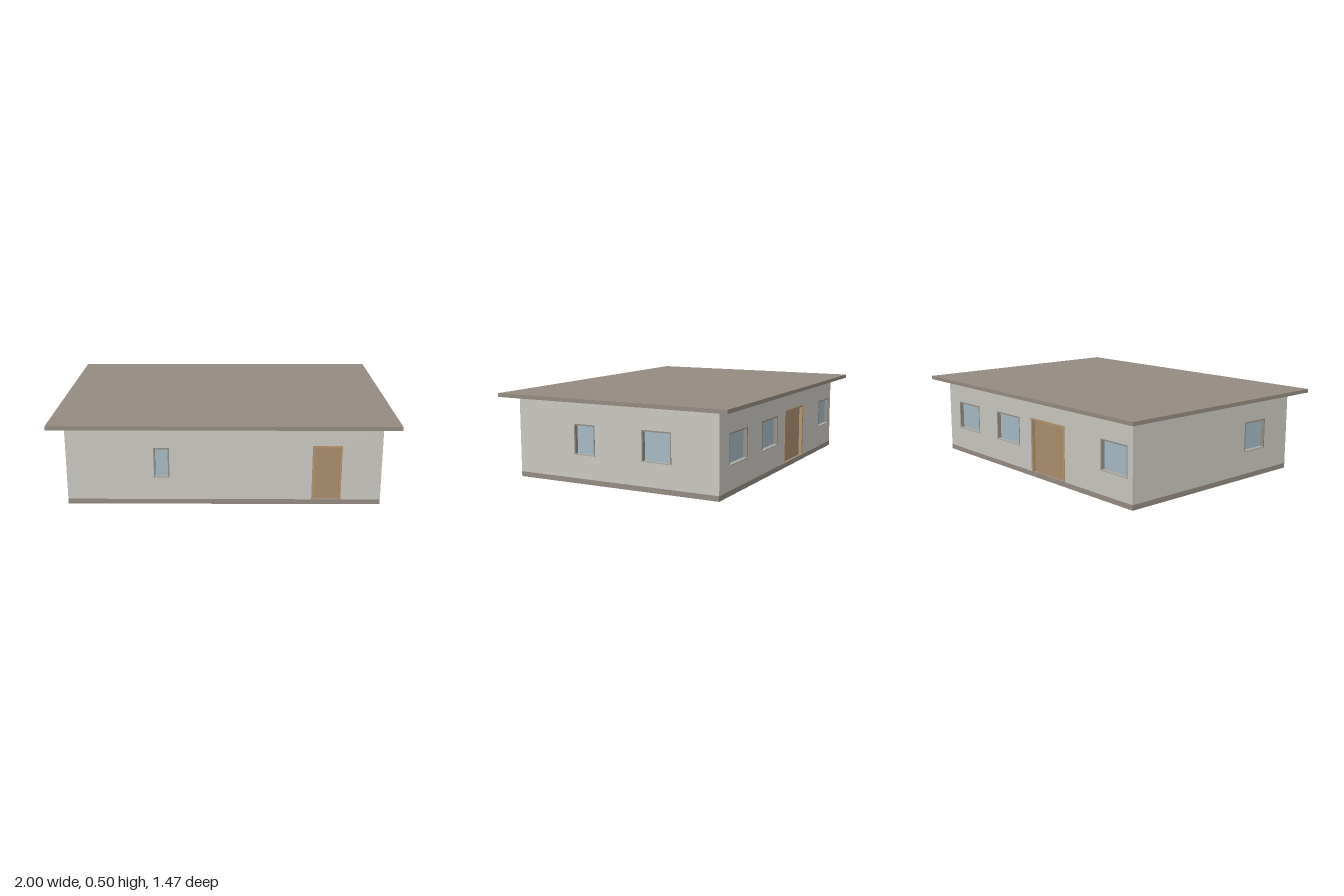
import * as THREE from 'three';

const mat = (name, color) => {
  const m = new THREE.MeshStandardMaterial({ color });
  m.name = name;
  return m;
};

export function createModel() {
  const wallMat = mat('plaster', 0xc9c7c1);
  const stoneMat = mat('roof taupe', 0x948b82);
  const frameMat = mat('window frame', 0x948f86);
  const sillMat = mat('window sill', 0xaaa8a2);
  const glassMat = mat('glass', 0xa5b9c3);
  const doorMat = mat('door wood', 0xa98d6c);
  const doorFrameMat = mat('door frame wood', 0xb3946d);

  const W = 0.91, D = 0.65, BASE = 0.03, TOP = 0.48, THICK = 0.04;
  const WIN_Y0 = 0.17, WIN_Y1 = 0.345, DOOR_Y1 = 0.36;
  const house = new THREE.Group();
  house.name = 'house';

  const add = (parent, name, geometry, material, x = 0, y = 0, z = 0) => {
    const m = new THREE.Mesh(geometry, material);
    m.name = name;
    m.position.set(x, y, z);
    parent.add(m);
  };
  const extrude = (shape, depth) =>
    new THREE.ExtrudeGeometry(shape, { depth, bevelEnabled: false });
  const points = (list) => list.map(([x, y]) => new THREE.Vector2(x, y));

  // Upside-down U around an opening, its front standing at z = front
  const addFrame = (parent, name, [a, b], y0, y1, t, front, depth, material) => {
    const shape = new THREE.Shape(points([
      [a, y0], [a + t, y0], [a + t, y1 - t], [b - t, y1 - t],
      [b - t, y0], [b, y0], [b, y1], [a, y1],
    ]));
    add(parent, name, extrude(shape, depth), material, 0, 0, front - depth);
  };

  // One wall with its openings; local z = 0 is the outer face
  const addWall = (name, half, distance, angle, windows, doors) => {
    const wall = new THREE.Group();
    wall.name = name;
    wall.rotation.y = angle;
    wall.position.set(Math.sin(angle) * distance, 0, Math.cos(angle) * distance);
    house.add(wall);

    // Outline notched for the doors, holes for the windows
    const outline = [[-half, BASE]];
    for (const [a, b] of doors)
      outline.push([a, BASE], [a, DOOR_Y1], [b, DOOR_Y1], [b, BASE]);
    outline.push([half, BASE], [half, TOP], [-half, TOP]);
    const shape = new THREE.Shape(points(outline));
    for (const [a, b] of windows)
      shape.holes.push(new THREE.Path(points([
        [a, WIN_Y0], [a, WIN_Y1], [b, WIN_Y1], [b, WIN_Y0],
      ])));
    add(wall, name + 'Panel', extrude(shape, THICK), wallMat, 0, 0, -THICK);

    for (const [a, b] of windows) {
      const mid = (a + b) / 2, w = b - a;
      addFrame(wall, 'windowFrame', [a, b], WIN_Y0, WIN_Y1, 0.008, 0.001, 0.035, frameMat);
      add(wall, 'windowGlass', new THREE.BoxGeometry(w, WIN_Y1 - WIN_Y0, 0.008),
        glassMat, mid, (WIN_Y0 + WIN_Y1) / 2, -0.026);
      add(wall, 'windowSill', new THREE.BoxGeometry(w + 0.008, 0.005, 0.03),
        sillMat, mid, WIN_Y0, -0.009);
    }
    for (const [a, b] of doors) {
      addFrame(wall, 'doorFrame', [a, b], BASE, DOOR_Y1, 0.012, 0.003, 0.038, doorFrameMat);
      add(wall, 'doorLeaf', new THREE.BoxGeometry(b - a, DOOR_Y1 - BASE, 0.012),
        doorMat, (a + b) / 2, (BASE + DOOR_Y1) / 2, -0.024);
    }
  };

  // Plinth and overhanging flat roof
  add(house, 'plinth', new THREE.BoxGeometry(2 * W, BASE, 2 * D), stoneMat, 0, BASE / 2, 0);
  add(house, 'roof', new THREE.BoxGeometry(2, 0.022, 1.47), stoneMat, 0, 0.491, 0);

  // Four walls; the side walls fit between the long ones
  addWall('frontWall', W, D, 0, [[-0.405, -0.315]], [[0.51, 0.68]]);
  addWall('backWall', W, D, Math.PI,
    [[-0.79, -0.55], [-0.345, -0.1], [0.655, 0.87]], [[0.02, 0.34]]);
  addWall('leftWall', D - THICK, W, Math.PI / 2, [[-0.265, -0.125], [0.18, 0.365]], []);
  addWall('rightWall', D - THICK, W, -Math.PI / 2, [[0.25, 0.435]], []);

  return house;
}
